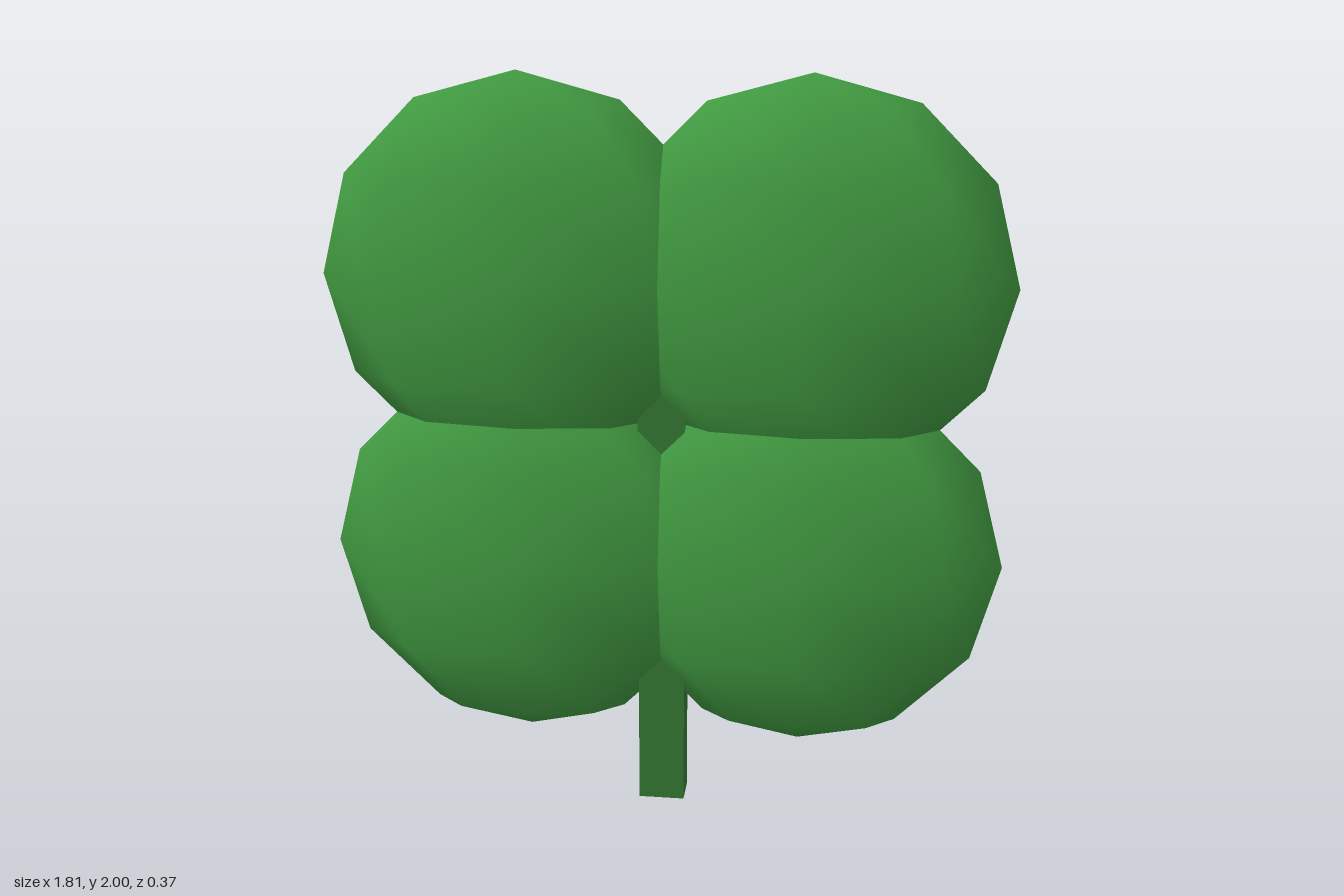
import * as THREE from 'three';

export function createModel() {
  const group = new THREE.Group();
  const leafGreen = new THREE.MeshStandardMaterial({ color: 0x429c42 });
  leafGreen.name = 'leafGreen';
  const stemGreen = new THREE.MeshStandardMaterial({ color: 0x357a35 });
  stemGreen.name = 'stemGreen';

  // Four flattened low-poly spheres, two above two
  const leafShape = new THREE.SphereGeometry(0.53, 8, 6);
  leafShape.scale(1, 1, 0.35);
  for (const [level, y] of [['upper', 1.47], ['lower', 0.72]]) {
    for (const [side, x] of [['Left', 0.375], ['Right', -0.375]]) {
      const leaf = new THREE.Mesh(leafShape, leafGreen);
      leaf.name = `${level}${side}Leaf`;
      leaf.position.set(x, y, 0);
      group.add(leaf);
    }
  }

  // Square-cut stem running up through the gap between the leaves
  const stemHeight = 1.25;
  const stem = new THREE.Mesh(new THREE.BoxGeometry(0.125, stemHeight, 0.09), stemGreen);
  stem.name = 'stem';
  stem.position.y = stemHeight / 2;
  group.add(stem);

  return group;
}
